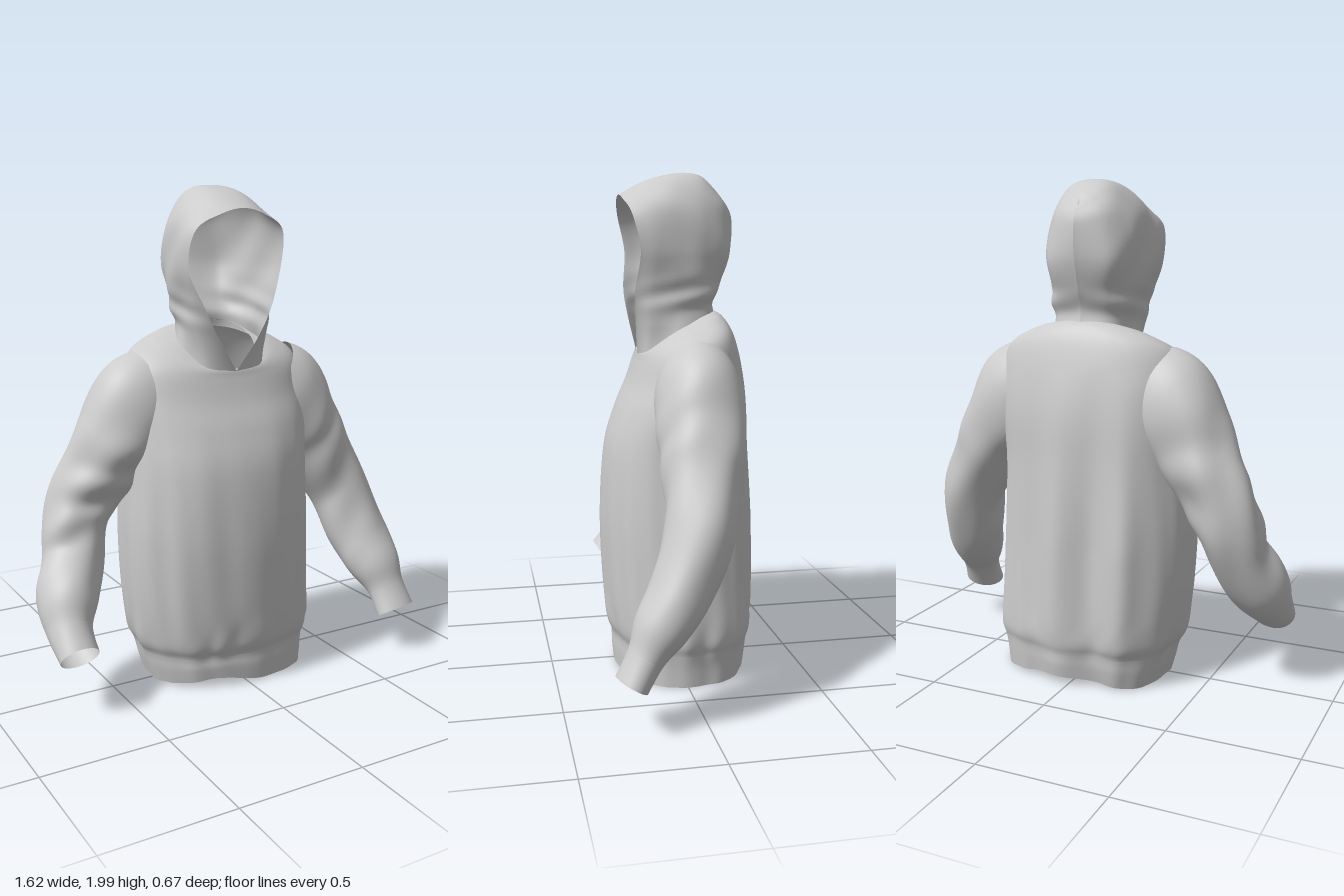
import * as THREE from 'three';

const material = new THREE.MeshStandardMaterial({ color: 0xcccccc, side: THREE.DoubleSide });

// Smooth interpolation through rows of numbers, s in 0..1
function spline(rows, s) {
  const f = s * (rows.length - 1), k = Math.min(Math.floor(f), rows.length - 2), t = f - k;
  const at = (i) => rows[Math.max(0, Math.min(rows.length - 1, i))];
  const [a, b, c, d] = [at(k - 1), at(k), at(k + 1), at(k + 2)];
  return b.map((p, i) => p + 0.5 * t * (c[i] - a[i]
    + t * (2 * a[i] - 5 * p + 4 * c[i] - d[i] + t * (3 * (p - c[i]) + d[i] - a[i]))));
}

// Grid surface from point(u, v); closed joins the last column to the first
function sheet(name, point, nu, nv, closed, v0 = 0, v1 = 1) {
  const pos = [], index = [], cols = closed ? nu : nu + 1;
  for (let j = 0; j <= nv; j++) {
    for (let i = 0; i < cols; i++) pos.push(...point(i / nu, v0 + (v1 - v0) * j / nv));
  }
  for (let j = 0; j < nv; j++) {
    for (let i = 0; i < nu; i++) {
      const a = j * cols + i, b = j * cols + (i + 1) % cols;
      index.push(a, a + cols, b, b, a + cols, b + cols);
    }
  }
  const geometry = new THREE.BufferGeometry();
  geometry.setAttribute('position', new THREE.Float32BufferAttribute(pos, 3));
  geometry.setIndex(index);
  geometry.computeVertexNormals();
  const mesh = new THREE.Mesh(geometry, material);
  mesh.name = name;
  return mesh;
}

const bell = (x, c, w) => Math.exp(-(((x - c) / w) ** 2));
const soft = (c, n) => Math.sign(c) * Math.abs(c) ** n;

// Body rings from hem to neck: y, forward tilt, min x, max x, back z, front z
const BODY = [
  [0.01, 0, -0.32, 0.37, -0.29, 0.24],
  [0.08, 0, -0.34, 0.375, -0.3, 0.245],
  [0.14, 0, -0.355, 0.385, -0.305, 0.245],
  [0.21, 0, -0.385, 0.4, -0.32, 0.265],
  [0.4, 0, -0.41, 0.39, -0.32, 0.28],
  [0.65, 0, -0.42, 0.38, -0.315, 0.285],
  [0.9, 0, -0.41, 0.375, -0.305, 0.265],
  [1.08, -0.02, -0.405, 0.39, -0.295, 0.22],
  [1.22, -0.04, -0.4, 0.385, -0.27, 0.17],
  [1.335, -0.06, -0.365, 0.355, -0.235, 0.14],
  [1.39, -0.075, -0.26, 0.25, -0.2, 0.13],
  [1.405, -0.085, -0.155, 0.15, -0.165, 0.115],
];

function bodyPoint(u, v) {
  const [y, tilt, x0, x1, z0, z1] = spline(BODY, v);
  const t = u * Math.PI * 2, c = Math.cos(t), s = Math.sin(t);
  // Vertical drapes that fade toward the shoulders, and uneven gathers above the band
  const fade = Math.max(0, Math.min(1, (1.25 - y) * 1.5));
  const drape = fade * (0.01 * Math.sin(9 * t + 1.5 * y) + 0.006 * Math.sin(17 * t - 2 * y + 1));
  const gather = 0.016 * bell(y, 0.2 + 0.03 * Math.sin(5 * t), 0.06)
    * Math.sin(15 * t + 2 * Math.sin(3 * t)) * (0.6 + 0.4 * Math.sin(4 * t + 1));
  const k = 1 + drape + gather;
  const x = (x0 + x1) / 2 + (x1 - x0) / 2 * soft(c, 0.86) * k;
  let z = (z0 + z1) / 2 + (z1 - z0) / 2 * soft(s, 0.86) * k;
  // Deep folds down the back, fuller on the right
  if (s < 0) {
    z += fade * -s * (0.025 * bell(x, -0.1, 0.06) - 0.04 * bell(x, -0.26, 0.08)
      - 0.02 * bell(x, 0.03, 0.06) + 0.015 * bell(x, 0.16, 0.06));
  }
  // Uneven lower edge
  const edge = Math.max(0, 1 - y / 0.14);
  const lift = edge * (s > 0 ? 0.045 * bell(x, -0.15, 0.15) * s : 0.035 * bell(x, 0.05, 0.2) * -s);
  return [x, y + tilt * s - 0.35 * Math.abs(tilt) * s * s + lift, z];
}

// Sleeve rings from shoulder to cuff: centre x, y, z, radius across, radius in depth
const LEFT_SLEEVE = [
  [0.2, 1.23, -0.05, 0.165, 0.13],
  [0.31, 1.15, -0.045, 0.21, 0.165],
  [0.415, 1.02, -0.04, 0.17, 0.168],
  [0.495, 0.89, -0.025, 0.148, 0.152],
  [0.6, 0.7, 0.01, 0.133, 0.13],
  [0.655, 0.5, 0.09, 0.13, 0.115],
  [0.69, 0.38, 0.17, 0.115, 0.1],
  [0.71, 0.29, 0.225, 0.085, 0.07],
  [0.725, 0.195, 0.28, 0.09, 0.062],
];
const RIGHT_SLEEVE = [
  [-0.2, 1.23, -0.06, 0.165, 0.13],
  [-0.32, 1.15, -0.07, 0.21, 0.168],
  [-0.43, 1.01, -0.08, 0.17, 0.168],
  [-0.51, 0.88, -0.1, 0.145, 0.148],
  [-0.585, 0.74, -0.11, 0.132, 0.13],
  [-0.625, 0.58, -0.07, 0.122, 0.122],
  [-0.69, 0.43, 0.02, 0.12, 0.125],
  [-0.715, 0.335, 0.1, 0.088, 0.095],
  [-0.715, 0.26, 0.195, 0.078, 0.065],
];

function sleevePoint(rings, wrinkle) {
  const side = Math.sign(rings[0][0]);
  return (u, v) => {
    const [x, y, z, a, b] = spline(rings, v);
    const p = spline(rings, Math.max(0, v - 0.03)), q = spline(rings, Math.min(1, v + 0.03));
    const dir = new THREE.Vector3(q[0] - p[0], q[1] - p[1], q[2] - p[2]).normalize();
    const across = new THREE.Vector3(1, side * (1 - v), 0);
    across.addScaledVector(dir, -dir.dot(across)).normalize();
    const depth = dir.clone().cross(across);
    const t = u * Math.PI * 2;
    // Slanted wrinkles, strongest around the elbow and above the cuff
    const amount = wrinkle * Math.sin(Math.PI * Math.min(1, v / 0.9)) ** 2;
    const k = 1 + amount * (Math.sin(38 * v + 2.2 * Math.sin(t + 4 * v)) * (0.6 + 0.4 * Math.cos(2 * t + 9 * v))
      + 0.6 * Math.sin(5 * t + 14 * v));
    return new THREE.Vector3(x, y, z)
      .addScaledVector(across, a * k * Math.cos(t))
      .addScaledVector(depth, -b * k * Math.sin(t)).toArray();
  };
}

// Hood arches from the face edge to the back seam; each runs from neck to crown
const HOOD = [
  [[0, 1.285, 0.135], [0.09, 1.42, 0.155], [0.15, 1.54, 0.165], [0.205, 1.69, 0.15], [0.19, 1.83, 0.18], [0.09, 1.89, 0.2], [0, 1.91, 0.205]],
  [[0.125, 1.305, 0.115], [0.155, 1.42, 0.105], [0.178, 1.54, 0.1], [0.213, 1.69, 0.09], [0.195, 1.84, 0.1], [0.1, 1.94, 0.1], [0, 1.965, 0.1]],
  [[0.18, 1.375, 0.01], [0.172, 1.45, 0], [0.185, 1.55, 0], [0.2, 1.7, -0.01], [0.18, 1.86, 0], [0.1, 1.97, -0.01], [0, 1.995, -0.02]],
  [[0.155, 1.41, -0.095], [0.152, 1.47, -0.09], [0.165, 1.56, -0.1], [0.18, 1.7, -0.11], [0.16, 1.86, -0.11], [0.09, 1.965, -0.11], [0, 1.99, -0.11]],
  [[0.1, 1.425, -0.155], [0.1, 1.485, -0.15], [0.11, 1.57, -0.18], [0.125, 1.7, -0.21], [0.105, 1.85, -0.2], [0.055, 1.92, -0.18], [0, 1.95, -0.165]],
  [[0, 1.435, -0.185], [0, 1.5, -0.175], [0, 1.58, -0.21], [0, 1.7, -0.25], [0, 1.82, -0.255], [0, 1.88, -0.23], [0, 1.9, -0.205]],
].map((half) => [...half, ...half.slice(0, -1).reverse().map(([x, y, z]) => [-x, y, z])].flat());

function hoodPoint(u, v) {
  const flat = spline(HOOD, v), arch = [];
  for (let i = 0; i < flat.length; i += 3) arch.push(flat.slice(i, i + 3));
  const [x, y, z] = spline(arch, u);
  // Slanted creases near the neck and along the sides
  const fold = Math.sin(Math.PI * v) * (0.035 * bell(y, 1.52, 0.06) * Math.sin(60 * y + 14 * z)
    + 0.02 * Math.sin(24 * y - 26 * z) * Math.min(1, Math.abs(x) * 8));
  const lean = -0.014 * Math.min(1, Math.max(0, (y - 1.4) * 4));
  return [x * (1 + fold) + lean, y, z * (1 + fold)];
}

export function createModel() {
  const model = new THREE.Group();
  model.name = 'hoodedSweatshirt';

  // Body and its waistband
  const band = 2 / (BODY.length - 1);
  model.add(sheet('hemBand', bodyPoint, 160, 10, true, 0, band));
  model.add(sheet('torso', bodyPoint, 160, 70, true, band, 1));

  // Sleeves with cuffs
  for (const [side, rings, wrinkle] of [['left', LEFT_SLEEVE, 0.035], ['right', RIGHT_SLEEVE, 0.06]]) {
    const point = sleevePoint(rings, wrinkle);
    model.add(sheet(side + 'Sleeve', point, 56, 90, true, 0.06, 0.88));
    model.add(sheet(side + 'Cuff', point, 56, 12, true, 0.88, 1));
  }

  // Open hood
  model.add(sheet('hood', hoodPoint, 120, 60, false));
  return model;
}
